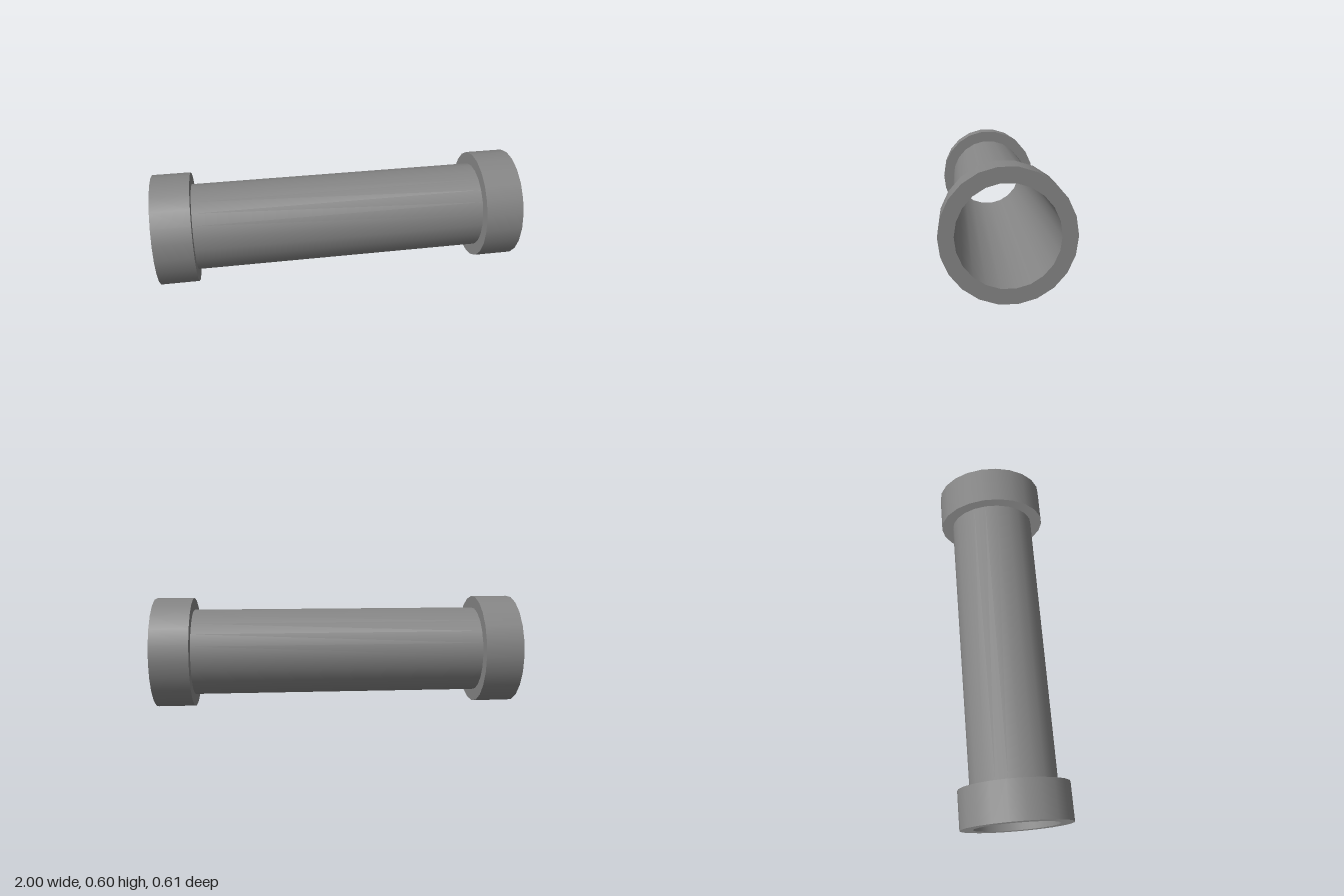
import * as THREE from 'three';
import { mergeGeometries } from 'three/addons/utils/BufferGeometryUtils.js';

const SIDES = 22;
const OUTER = 0.304;   // collar radius
const PIPE = 0.238;    // pipe outside radius
const BORE = 0.233;    // pipe inside radius
const HALF = 1;        // half the length
const COLLAR = 0.207;  // collar width

// Open cylinder lying along x
function sleeve(radius, length) {
  return new THREE.CylinderGeometry(radius, radius, length, SIDES, 1, true).rotateZ(-Math.PI / 2);
}

// Flat annulus facing +x (dir 1) or -x (dir -1)
function rim(dir) {
  return new THREE.RingGeometry(BORE, OUTER, SIDES, 1)
    .rotateY(dir * Math.PI / 2)
    .translate(dir * COLLAR / 2, 0, 0);
}

export function createModel() {
  const model = new THREE.Group();
  model.name = 'flangedPipe';
  const material = new THREE.MeshStandardMaterial({ color: 0x858585, side: THREE.DoubleSide });
  const centreY = OUTER * Math.cos(Math.PI / SIDES); // rests on a flat side

  // Thin pipe wall between the collars, and the bore through the full length
  for (const [name, radius, length] of [
    ['pipeWall', PIPE, 2 * (HALF - COLLAR)],
    ['bore', BORE, 2 * HALF],
  ]) {
    const tube = new THREE.Mesh(sleeve(radius, length), material);
    tube.name = name;
    tube.position.y = centreY;
    model.add(tube);
  }

  // End collars: outer band plus two flat rims
  const collarGeometry = mergeGeometries([sleeve(OUTER, COLLAR), rim(1), rim(-1)]);
  for (const [name, side] of [['leftCollar', 1], ['rightCollar', -1]]) {
    const collar = new THREE.Mesh(collarGeometry, material);
    collar.name = name;
    collar.position.set(side * (HALF - COLLAR / 2), centreY, 0);
    model.add(collar);
  }
  return model;
}
